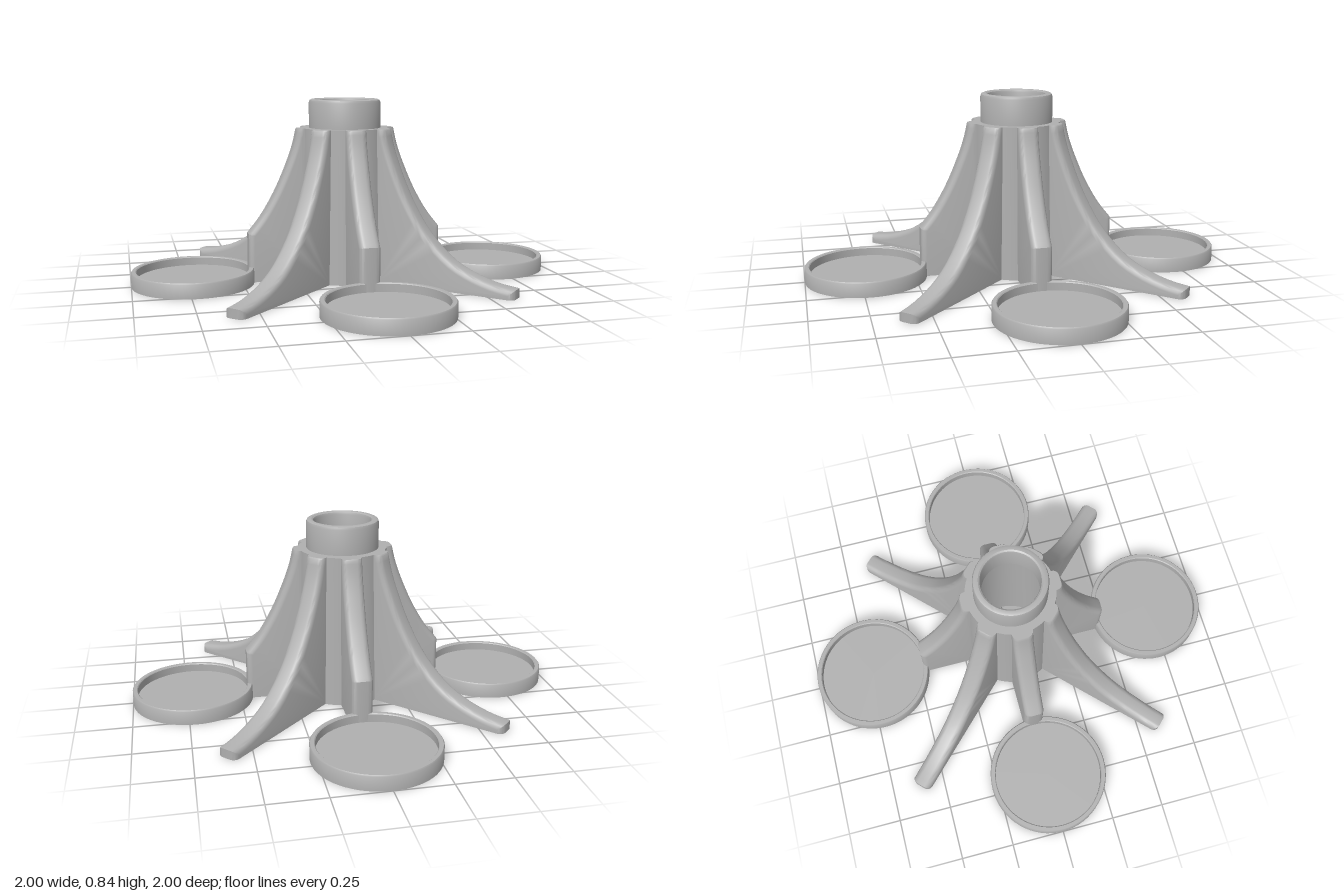
import * as THREE from 'three';
import { toCreasedNormals } from 'three/addons/utils/BufferGeometryUtils.js';

const TOP = 0.71;      // height of the shoulder where the ribs end
const WIDTH = 0.095;   // rib thickness
const BEVEL = 0.027;   // rounding of the rib edges

// Shared sweep of the rib crest, as [radius, height]
const CREST = [[0.222, 0.75], [0.231, TOP], [0.25, 0.63], [0.282, 0.54], [0.335, 0.42], [0.4, 0.308], [0.465, 0.225]];
const TOE = [[0.56, 0.14], [0.66, 0.088], [0.77, 0.055], [0.87, 0.042]];

const lathe = (points, segments = 64) =>
  toCreasedNormals(new THREE.LatheGeometry(points.map(([x, y]) => new THREE.Vector2(x, y)), segments), 0.6);

// Inner edge of a rib, buried in the tapering wall of the hub
const innerEdge = (y) => 0.205 - 0.025 * (y / TOP);

function ribGeometry(crest) {
  const curve = new THREE.SplineCurve(crest.map(([x, y]) => new THREE.Vector2(x, y)));
  const outline = curve.getPoints(28);
  const end = crest[crest.length - 1][0];
  const shape = new THREE.Shape([
    new THREE.Vector2(0.14, -BEVEL),
    new THREE.Vector2(end, -BEVEL),
    ...outline.reverse(),
    new THREE.Vector2(0.14, 0.75),
  ]);
  const depth = WIDTH - 2 * BEVEL;
  const geometry = new THREE.ExtrudeGeometry(shape, {
    depth, bevelEnabled: true, bevelThickness: BEVEL, bevelSize: BEVEL, bevelOffset: -BEVEL, bevelSegments: 4,
  });
  geometry.translate(0, 0, -depth / 2);
  // Trim base, top and inner edge square, leaving only the crest and tip rounded
  const p = geometry.attributes.position;
  for (let i = 0; i < p.count; i++) {
    const y = THREE.MathUtils.clamp(p.getY(i), 0, TOP);
    p.setXY(i, Math.max(p.getX(i), innerEdge(y)), y);
  }
  return toCreasedNormals(geometry, 0.6);
}

export function createModel() {
  const model = new THREE.Group();
  model.name = 'ribbedStand';
  const grey = new THREE.MeshStandardMaterial({ color: 0xb0b0b0 });
  grey.name = 'grey';

  const add = (name, geometry, angle = 0, radius = 0) => {
    const mesh = new THREE.Mesh(geometry, grey);
    mesh.name = name;
    mesh.rotation.y = angle;
    mesh.position.set(Math.cos(angle) * radius, 0, -Math.sin(angle) * radius);
    model.add(mesh);
  };

  // Hollow hub: tapered wall, shoulder, and upright collar with softened rim
  add('hub', lathe([
    [0.195, 0], [0.22, 0], [0.205, TOP], [0.168, TOP],
    [0.168, 0.828], [0.164, 0.839], [0.155, 0.843], [0.142, 0.843], [0.135, 0.838], [0.132, 0.828],
    [0.132, 0.71], [0.172, 0.66], [0.195, 0],
  ]));

  // Shallow dish with a raised lip
  const dish = lathe([
    [0, 0], [0.28, 0], [0.28, 0.064], [0.276, 0.07], [0.26, 0.07], [0.256, 0.066], [0.256, 0.03], [0, 0.03],
  ]);
  const shortRib = ribGeometry(CREST);
  const longRib = ribGeometry([...CREST, ...TOE]);

  // Short ribs lead to the dishes, long ribs stand between them as legs
  for (let i = 0; i < 4; i++) {
    const angle = (i * Math.PI) / 2;
    add('shortRib', shortRib, angle);
    add('dish', dish, angle, 0.72);
    add('longRib', longRib, angle + Math.PI / 4);
  }
  return model;
}
